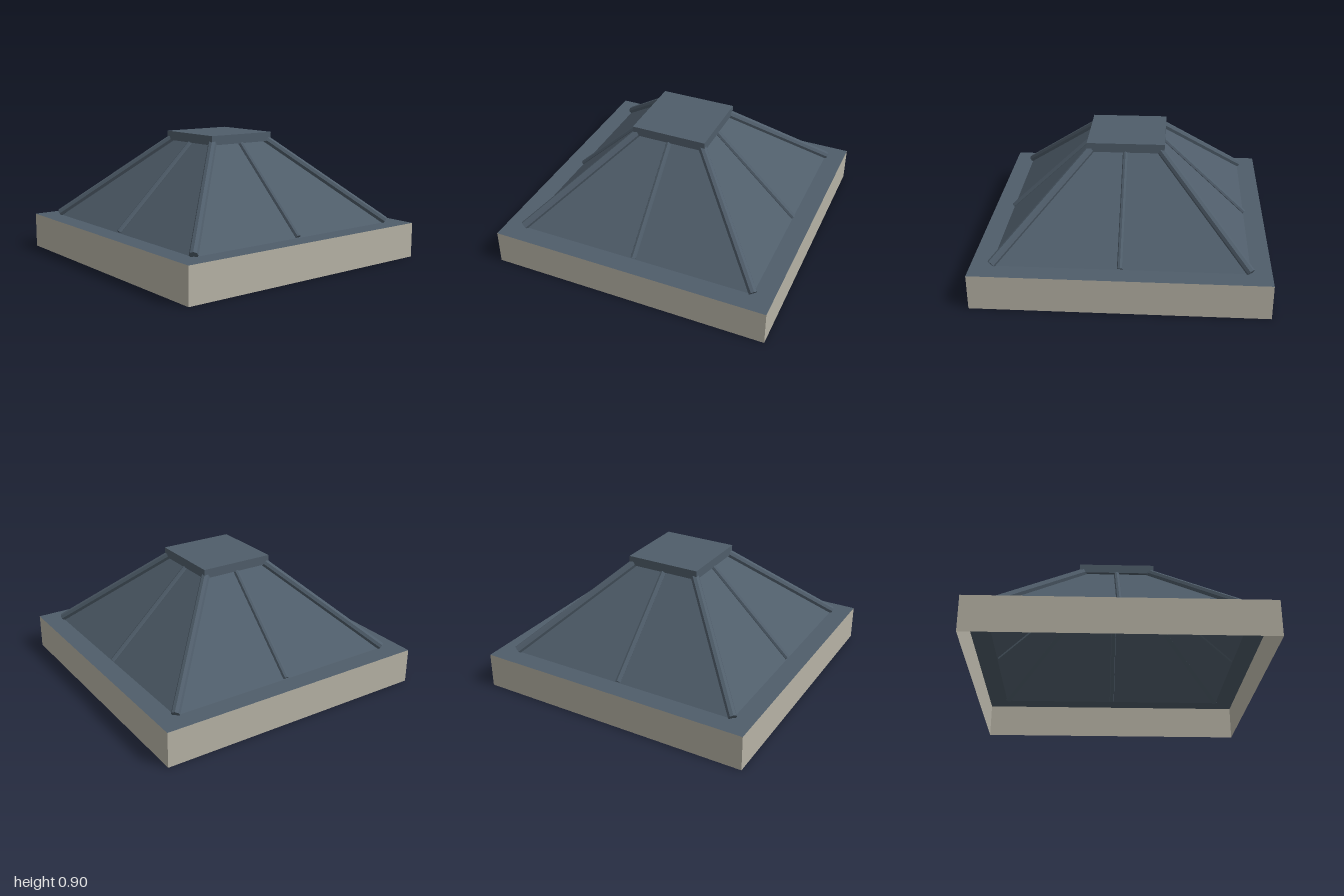
import * as THREE from 'three';

export function createModel() {
  const slate = new THREE.MeshStandardMaterial({ color: 0x4f5d6a, side: THREE.DoubleSide, flatShading: true });
  slate.name = 'slate metal';
  const ribSlate = slate;
  const stone = new THREE.MeshStandardMaterial({ color: 0xb6b2a5, side: THREE.DoubleSide, flatShading: true });
  stone.name = 'pale stone';

  const model = new THREE.Group();
  model.name = 'hippedRoof';

  const BASE_Y = 0.25, TOP_Y = 0.84, BASE_HALF = 0.86, TOP_HALF = 0.24;

  const add = (name, geometry, material, y = 0) => {
    const mesh = new THREE.Mesh(geometry, material);
    mesh.name = name;
    mesh.position.y = y;
    model.add(mesh);
    return mesh;
  };

  // Open square tube or frustum, given half-widths at top and bottom
  const squareShell = (top, bottom, height) =>
    new THREE.CylinderGeometry(top * Math.SQRT2, bottom * Math.SQRT2, height, 4, 1, true, Math.PI / 4);

  const squarePoints = (h) => [[-h, -h], [h, -h], [h, h], [-h, h]].map(([x, y]) => new THREE.Vector2(x, y));

  // Thin fascia walls, open underneath
  add('fascia', squareShell(1, 1, BASE_Y), stone, BASE_Y / 2);

  // Flat ledge around the foot of the slopes
  const ledge = new THREE.Shape(squarePoints(1));
  ledge.holes.push(new THREE.Path(squarePoints(BASE_HALF).reverse()));
  add('ledge', new THREE.ShapeGeometry(ledge).rotateX(-Math.PI / 2), slate, BASE_Y);

  // Four sloping panels
  add('slopes', squareShell(TOP_HALF, BASE_HALF, TOP_Y - BASE_Y), slate, (BASE_Y + TOP_Y) / 2);

  // Flat cap
  add('cap', new THREE.BoxGeometry(0.54, 0.065, 0.54), slate, 0.8675);

  // Round ribs along the hips and down the middle of each slope
  const addRib = (name, from, to, radius) => {
    const along = new THREE.Vector3().subVectors(to, from);
    const rib = add(name, new THREE.CylinderGeometry(radius, radius, along.length(), 8), ribSlate);
    rib.position.addVectors(from, to).multiplyScalar(0.5);
    rib.quaternion.setFromUnitVectors(new THREE.Vector3(0, 1, 0), along.normalize());
  };
  const up = new THREE.Vector3(0, 1, 0);
  for (let i = 0; i < 4; i++) {
    const turn = (x, y, z) => new THREE.Vector3(x, y, z).applyAxisAngle(up, i * Math.PI / 2);
    addRib('hipRib', turn(BASE_HALF, 0.262, BASE_HALF), turn(TOP_HALF, TOP_Y + 0.01, TOP_HALF), 0.03);
    addRib('middleRib', turn(0, 0.257, BASE_HALF), turn(0, TOP_Y + 0.005, TOP_HALF), 0.02);
  }
  return model;
}
